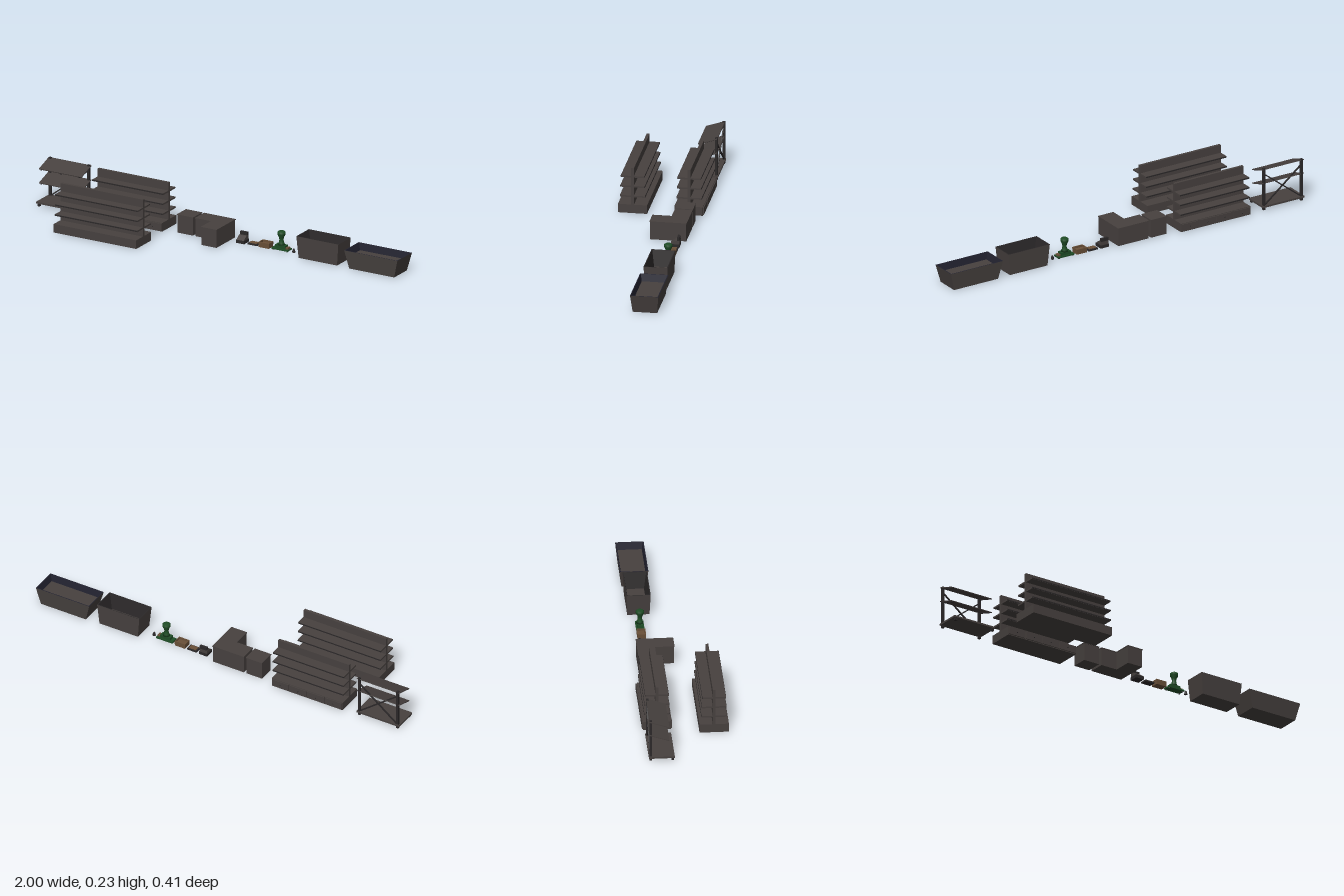
import * as THREE from 'three';

const mat = (name, color, side = THREE.FrontSide) =>
  Object.assign(new THREE.MeshStandardMaterial({ color, side }), { name });

// Lofts rectangular rings [y, halfWidth, halfDepth], with optional end caps
function loft(rings, capStart, capEnd) {
  const pos = [];
  const corners = ([y, w, d]) => [[-w, y, d], [w, y, d], [w, y, -d], [-w, y, -d]];
  const quad = (a, b, c, d) => pos.push(...a, ...b, ...c, ...a, ...c, ...d);
  for (let r = 0; r < rings.length - 1; r++) {
    const a = corners(rings[r]), b = corners(rings[r + 1]);
    for (let i = 0; i < 4; i++) quad(a[i], a[(i + 1) % 4], b[(i + 1) % 4], b[i]);
  }
  if (capStart) quad(...corners(rings[0]).reverse());
  if (capEnd) quad(...corners(rings[rings.length - 1]));
  const g = new THREE.BufferGeometry();
  g.setAttribute('position', new THREE.Float32BufferAttribute(pos, 3));
  g.computeVertexNormals();
  return g;
}

export function createModel() {
  const model = new THREE.Group();
  model.name = 'shopFurniture';
  const grey = mat('warmGrey', 0x47413f);
  const dark = mat('nearBlack', 0x2b2829);
  const navy = mat('darkNavy', 0x22222f);
  const green = mat('darkGreen', 0x1f4d26);
  const brown = mat('woodBrown', 0x6a5038);

  const group = (name) => {
    const g = new THREE.Group();
    g.name = name;
    model.add(g);
    return g;
  };
  const add = (parent, name, geo, material, x = 0, y = 0, z = 0) => {
    const m = new THREE.Mesh(geo, material);
    m.name = name;
    m.position.set(x, y, z);
    parent.add(m);
    return m;
  };
  // Box given by its extents on each axis
  const box = (parent, name, material, x0, x1, y0, y1, z0, z1) =>
    add(parent, name, new THREE.BoxGeometry(x1 - x0, y1 - y0, z1 - z0), material,
      (x0 + x1) / 2, (y0 + y1) / 2, (z0 + z1) / 2);
  // Square bar between two points
  const bar = (parent, name, material, a, b, t) => {
    const p = new THREE.Vector3(...a), q = new THREE.Vector3(...b);
    const m = add(parent, name, new THREE.BoxGeometry(t, t, p.distanceTo(q)), material);
    m.position.copy(p).add(q).multiplyScalar(0.5);
    m.lookAt(q);
    return m;
  };

  // Display rack: two back posts, sloping trays, cross brace, flat bottom shelf
  const rack = group('displayRack');
  for (const x of [-0.988, -0.777]) {
    box(rack, 'rackPost', dark, x - 0.006, x + 0.006, 0, 0.214, -0.19, -0.178);
    box(rack, 'frontFoot', dark, x - 0.006, x + 0.006, 0, 0.014, -0.085, -0.073);
    for (const y of [0.208, 0.137])
      bar(rack, 'trayArm', dark, [x, y - 0.002, -0.188], [x, y - 0.032, -0.097], 0.006);
  }
  for (const y of [0.208, 0.137]) {
    const tray = add(rack, 'slopingTray', new THREE.BoxGeometry(0.235, 0.004, 0.098), grey,
      -0.8825, y - 0.014, -0.143);
    tray.rotation.x = Math.atan2(0.031, 0.092);
  }
  box(rack, 'bottomShelf', grey, -1, -0.765, 0.013, 0.022, -0.193, -0.07);
  bar(rack, 'crossBrace', dark, [-0.985, 0.022, -0.186], [-0.78, 0.182, -0.186], 0.006);
  bar(rack, 'crossBrace', dark, [-0.985, 0.182, -0.183], [-0.78, 0.022, -0.183], 0.006);

  // Two-sided shelving units
  const gondola = (name, x0, x1, z, baseHalf) => {
    const g = group(name);
    box(g, 'plinth', grey, x0, x1, 0, 0.043, z - baseHalf, z + baseHalf);
    box(g, 'centrePanel', grey, x0, x1, 0.043, 0.229, z - 0.007, z + 0.007);
    [[0.085, 0.06], [0.135, 0.058], [0.185, 0.056]].forEach(([y, half]) => {
      box(g, 'shelf', grey, x0, x1, y - 0.004, y + 0.004, z - half, z + half);
      for (const s of [-1, 1])
        box(g, 'shelfEdge', dark, x0, x1, y - 0.003, y + 0.003,
          z + s * (half + 0.0005) - 0.0005, z + s * (half + 0.0005) + 0.0005);
    });
    return g;
  };
  gondola('frontShelving', -0.737, -0.282, 0.138, 0.07);
  const drawerUnit = gondola('drawerShelving', -0.692, -0.301, -0.131, 0.066);

  // Drawer fronts and knobs on both sides of the rear unit
  for (const s of [-1, 1])
    for (let i = 0; i < 4; i++) {
      const x = -0.692 + 0.09775 * (i + 0.5), z = -0.131 + s * 0.068;
      box(drawerUnit, 'drawerFront', grey, x - 0.046, x + 0.046, 0.004, 0.04, z - 0.003, z + 0.003);
      add(drawerUnit, 'drawerKnob', new THREE.SphereGeometry(0.003, 8, 6), dark, x, 0.022, z + s * 0.004);
    }

  // Checkout counters
  const counter = group('checkoutCounter');
  box(counter, 'cabinet', grey, -0.233, -0.147, 0, 0.088, -0.174, -0.092);
  box(counter, 'cabinetTop', grey, -0.235, -0.145, 0.088, 0.092, -0.176, -0.09);
  box(counter, 'counterBody', grey, -0.133, 0.038, 0, 0.088, -0.174, -0.092);
  box(counter, 'counterReturn', grey, -0.045, 0.038, 0, 0.088, -0.092, 0.001);
  box(counter, 'counterTop', grey, -0.135, 0.04, 0.088, 0.092, -0.176, -0.09);
  box(counter, 'returnTop', grey, -0.047, 0.04, 0.088, 0.092, -0.09, 0.003);

  // Cash register with a sloping body and raised display
  const register = group('cashRegister');
  box(register, 'cashDrawer', dark, 0.08, 0.125, 0, 0.016, -0.155, -0.11);
  const side = new THREE.Shape([[0.11, 0.016], [0.155, 0.016], [0.155, 0.034], [0.135, 0.034]]
    .map(([z, y]) => new THREE.Vector2(z, y)));
  const body = add(register, 'registerBody',
    new THREE.ExtrudeGeometry(side, { depth: 0.041, bevelEnabled: false }), grey, 0.082, 0, 0);
  body.rotation.y = Math.PI / 2;
  box(register, 'display', dark, 0.083, 0.122, 0.034, 0.05, -0.155, -0.143);

  // Flat tray and shallow open crate
  const tray = group('flatTray');
  box(tray, 'trayBase', dark, 0.14, 0.192, 0, 0.008, -0.153, -0.118);
  box(tray, 'trayInset', brown, 0.146, 0.186, 0.008, 0.011, -0.148, -0.123);
  const crate = group('woodenCrate');
  add(crate, 'crateShell', loft([[0, 0.028, 0.02], [0.026, 0.029, 0.021], [0.026, 0.025, 0.017],
    [0.016, 0.025, 0.017]], true, true), brown, 0.231, 0, -0.134);

  // Weighing scale: base, flared column, side pans
  const scale = group('weighingScale');
  box(scale, 'scaleBase', green, 0.273, 0.363, 0.004, 0.011, -0.154, -0.114);
  for (const x of [0.28, 0.356])
    for (const z of [-0.147, -0.121])
      add(scale, 'scaleFoot', new THREE.CylinderGeometry(0.004, 0.004, 0.004, 8), dark, x, 0.002, z);
  box(scale, 'scaleBody', green, 0.289, 0.345, 0.011, 0.027, -0.148, -0.12);
  const profile = [[0, 0.027], [0.018, 0.027], [0.013, 0.036], [0.01, 0.052], [0.012, 0.064],
    [0.02, 0.08], [0.02, 0.09], [0.014, 0.095], [0, 0.095]].map(([r, y]) => new THREE.Vector2(r, y));
  add(scale, 'flaredColumn', new THREE.LatheGeometry(profile, 16), green, 0.317, 0, -0.134);
  box(scale, 'scalePan', brown, 0.346, 0.36, 0.011, 0.02, -0.144, -0.124);

  // Small counter weight
  const weight = group('smallWeight');
  add(weight, 'weightBody', new THREE.CylinderGeometry(0.006, 0.008, 0.014, 12), dark, 0.385, 0.007, -0.134);
  add(weight, 'weightKnob', new THREE.SphereGeometry(0.004, 10, 8), dark, 0.385, 0.016, -0.134);

  // Open display bins with tapering walls
  const bin = (name, x, z, h, bottom, top, inner, floor, lining) => {
    const g = group(name);
    add(g, 'binShell', loft([[0, ...bottom], [h, ...top]], true, false), grey, x, 0, z);
    add(g, 'binRim', loft([[h, ...top], [h, ...inner]], false, false), lining, x, 0, z);
    add(g, 'binLining', loft([[h, ...inner], [floor[0], floor[1], floor[2]]], false, false), lining, x, 0, z);
    add(g, 'binFloor', loft([floor, floor], false, true), grey, x, 0, z);
  };
  bin('deepBin', 0.551, -0.131, 0.109, [0.106, 0.053], [0.116, 0.058], [0.112, 0.054], [0.03, 0.094, 0.042], dark);
  bin('wideBin', 0.852, -0.131, 0.09, [0.124, 0.059], [0.147, 0.068], [0.143, 0.064], [0.055, 0.134, 0.058], navy);

  return model;
}
